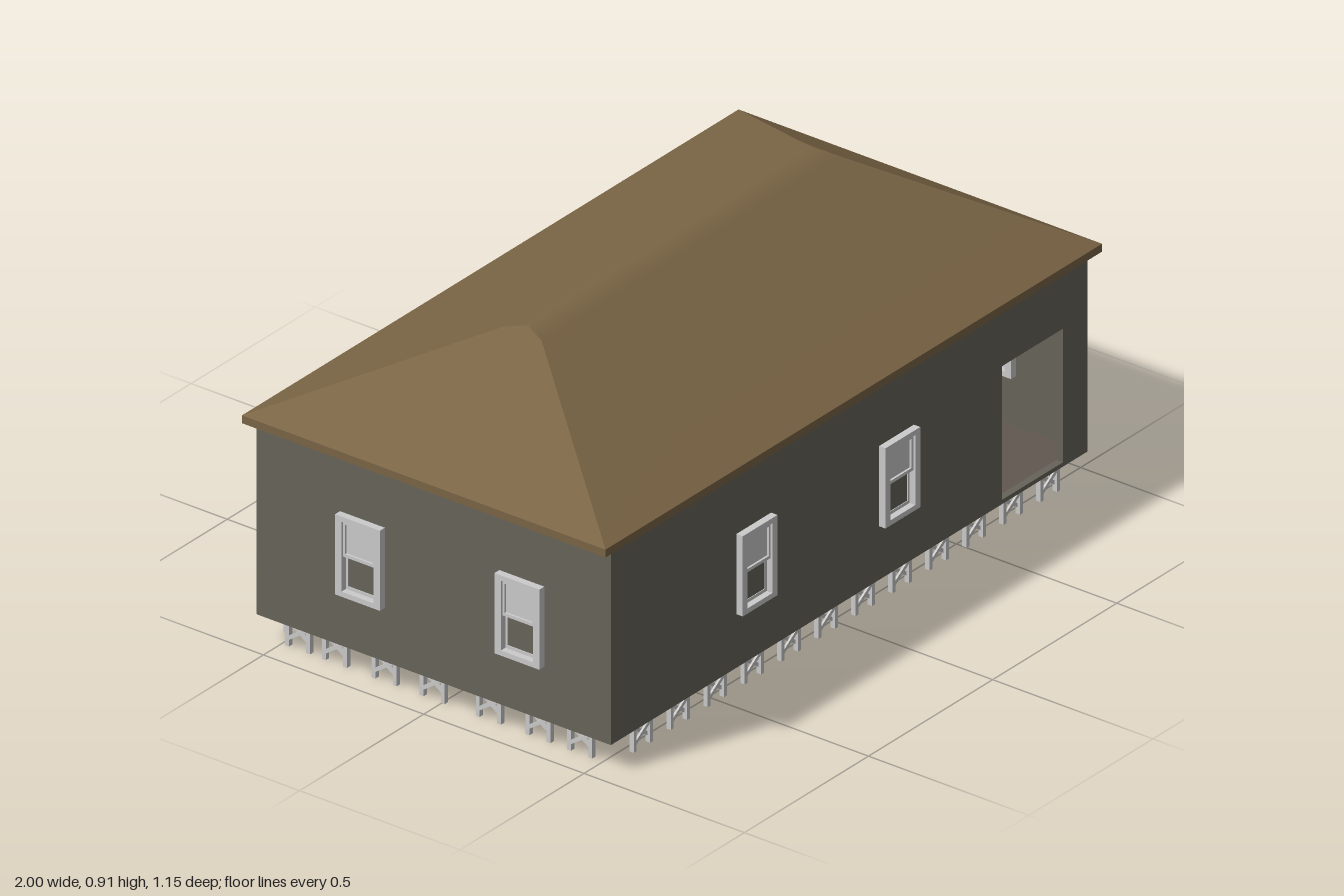
import * as THREE from 'three';

const mat = (name, color, extra = {}) => Object.assign(new THREE.MeshStandardMaterial({ color, ...extra }), { name });

export function createModel() {
  const house = new THREE.Group();
  house.name = 'stiltHouse';
  const wallMat = mat('wallGreyGreen', 0x67645a);
  const roofMat = mat('roofBrown', 0x7a6545);
  const trimMat = mat('trimGrey', 0xcbcbcb);
  const floorMat = mat('floorBrown', 0x625851);

  const W = 0.96, D = 0.553, Y0 = 0.08, Y1 = 0.62, T = 0.02;

  const add = (parent, name, geo, material, x = 0, y = 0, z = 0) => {
    const m = new THREE.Mesh(geo, material);
    m.name = name;
    m.position.set(x, y, z);
    parent.add(m);
    return m;
  };
  const box = (parent, name, material, w, h, d, x, y, z) =>
    add(parent, name, new THREE.BoxGeometry(w, h, d), material, x, y, z);

  // rectangle shape with rectangular holes, each given as [x0, y0, x1, y1]
  const rect = (Type, [x0, y0, x1, y1]) => {
    const s = new Type();
    s.moveTo(x0, y0);
    s.lineTo(x1, y0);
    s.lineTo(x1, y1);
    s.lineTo(x0, y1);
    s.closePath();
    return s;
  };
  const panel = (outer, holes, depth) => {
    const s = rect(THREE.Shape, outer);
    holes.forEach(h => s.holes.push(rect(THREE.Path, h)));
    return new THREE.ExtrudeGeometry(s, { depth, bevelEnabled: false });
  };

  // floor and walls, with a doorway in the front and in the back
  box(house, 'floor', floorMat, 2 * W - 0.002, 0.01, 2 * D - 0.002, 0, Y0 + 0.004, 0);
  add(house, 'frontWall', panel([-W, Y0, W, Y1], [[0.615, 0.092, 0.86, 0.467]], T), wallMat, 0, 0, D - T);
  add(house, 'backWall', panel([-W, Y0, W, Y1], [[-0.885, 0.092, -0.64, 0.467]], T), wallMat, 0, 0, -D);
  for (const s of [-1, 1]) {
    box(house, s > 0 ? 'leftWall' : 'rightWall', wallMat, T, Y1 - Y0, 2 * (D - T), s * (W - T / 2), (Y0 + Y1) / 2, 0);
  }

  // roof: eave board, long slopes with a softened ridge, and two flat hips
  box(house, 'eaveBoard', roofMat, 2, 0.022, 1.134, 0, 0.639, 0);
  const profile = [[0.567, 0.65], [0.06, 0.897], [0, 0.911], [-0.06, 0.897], [-0.567, 0.65]];
  const endX = y => 1 - (y - 0.65) * (0.42 / 0.261);
  const build = (points, index) => {
    const g = new THREE.BufferGeometry();
    g.setAttribute('position', new THREE.Float32BufferAttribute(points.flat(), 3));
    g.setIndex(index);
    g.computeVertexNormals();
    return g;
  };
  const slopePoints = profile.flatMap(([z, y]) => [[-endX(y), y, z], [endX(y), y, z]]);
  const slopeIndex = [];
  for (let i = 0; i < 8; i += 2) slopeIndex.push(i, i + 1, i + 3, i, i + 3, i + 2);
  add(house, 'roofSlopes', build(slopePoints, slopeIndex), roofMat);
  for (const s of [-1, 1]) {
    const index = [];
    for (let i = 1; i < 4; i++) index.push(0, ...(s > 0 ? [i + 1, i] : [i, i + 1]));
    add(house, 'roofHip', build(profile.map(([z, y]) => [s * endX(y), y, z]), index), roofMat);
  }

  // sash window facing +z; its origin lies on the outer wall face
  const frameGeo = panel([-0.07, -0.1125, 0.07, 0.1125], [[-0.05, -0.098, 0.05, 0.098]], 0.06);
  const sashGeo = panel([-0.05, -0.05, 0.05, 0.05], [[-0.043, -0.041, 0.043, 0.041]], 0.012);
  const addWindow = (x, z, turn) => {
    const win = new THREE.Group();
    win.name = 'window';
    add(win, 'windowFrame', frameGeo, trimMat, 0, 0, -0.04);
    add(win, 'upperSash', sashGeo, trimMat, 0, 0.048, 0.002);
    box(win, 'upperPane', trimMat, 0.09, 0.09, 0.006, 0, 0.048, 0.005);
    add(win, 'lowerSash', sashGeo, trimMat, 0, -0.048, -0.01);
    box(win, 'lowerPane', trimMat, 0.09, 0.09, 0.006, 0, -0.048, -0.007);
    // solid backing behind the panes
    box(win, 'windowBack', trimMat, 0.102, 0.197, 0.012, 0, 0, -0.016);
    win.position.set(x, 0.343, z);
    win.rotation.y = turn;
    house.add(win);
  };
  [-0.385, 0.19].forEach(x => addWindow(x, D, 0));
  [-0.1, 0.48].forEach(x => addWindow(x, -D, Math.PI));
  [-0.222, 0.275].forEach(z => {
    addWindow(W, z, Math.PI / 2);
    addWindow(-W, z, -Math.PI / 2);
  });

  // cross-braced stilts around the edge of the floor
  const postGeo = new THREE.BoxGeometry(0.012, 0.08, 0.014);
  const braceGeo = new THREE.BoxGeometry(0.082, 0.01, 0.006);
  const addStilt = (x, z, turn) => {
    const stilt = new THREE.Group();
    stilt.name = 'stilt';
    for (const s of [-1, 1]) {
      add(stilt, 'post', postGeo, trimMat, s * 0.033, 0.04, 0);
      add(stilt, 'brace', braceGeo, trimMat, 0, 0.043, s * 0.004).rotation.z = s * 0.6;
    }
    stilt.position.set(x, 0, z);
    stilt.rotation.y = turn;
    house.add(stilt);
  };
  for (let i = 0; i < 12; i++) {
    const x = -0.82 + 0.149 * i;
    addStilt(x + 0.018, 0.525, 0);
    addStilt(x - 0.018, -0.525, Math.PI);
  }
  [-0.44, -0.305, -0.18, -0.03, 0.105, 0.25, 0.43].forEach(z => addStilt(0.92, z, Math.PI / 2));
  [-0.45, -0.335, -0.18, -0.03, 0.145, 0.3, 0.43].forEach(z => addStilt(-0.92, z, -Math.PI / 2));

  return house;
}
